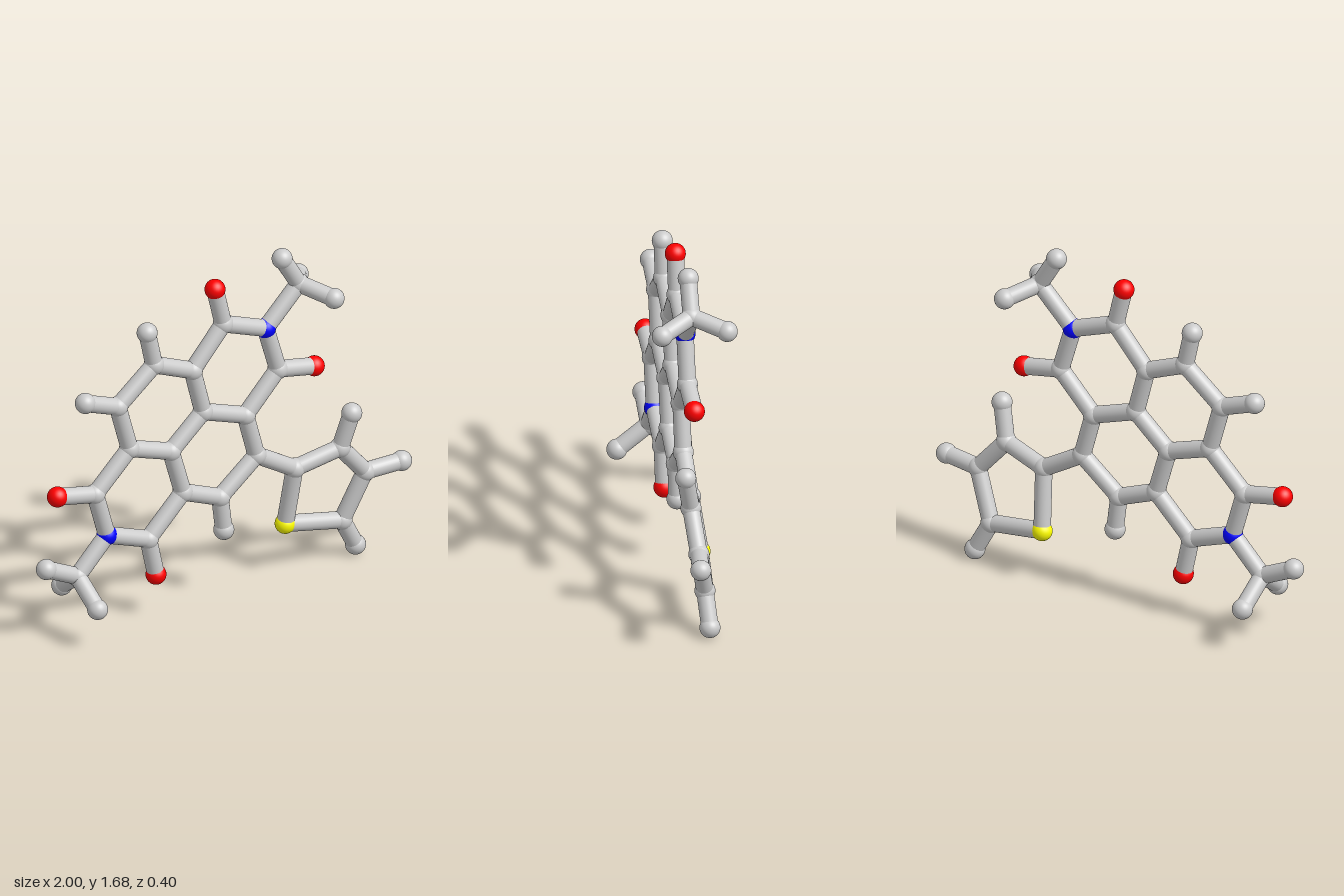
import * as THREE from 'three';

const BALL = 0.048, ROD = 0.04;
const COLORS = { C: 0xcccccc, H: 0xcccccc, O: 0xff0000, N: 0x0000ff, S: 0xffff00 };
const NAMES = { C: 'carbon', H: 'hydrogen', O: 'oxygen', N: 'nitrogen', S: 'sulfur' };

// Atom positions; the first letter of each key is the element
const ATOMS = {
  // fused ring core
  C1: [0.01, 1.385, 0], N1: [0.24, 1.3, 0], C2: [0.307, 1.075, 0], C3: [0.13, 0.888, 0],
  C4: [-0.1, 0.968, 0], C5: [-0.158, 1.193, 0], C6: [-0.366, 1.278, 0], C7: [-0.564, 1.118, 0],
  C8: [-0.5, 0.888, 0], C9: [-0.275, 0.813, 0], C10: [-0.21, 0.588, 0], C11: [-0.008, 0.508, 0],
  C12: [0.19, 0.668, 0], C13: [-0.687, 0.706, 0], N2: [-0.623, 0.481, 0], C14: [-0.398, 0.4, 0],
  // atoms on the rim
  O1: [-0.035, 1.572, 0], O2: [0.505, 1.037, 0], O3: [-0.892, 0.747, 0], O4: [-0.356, 0.209, 0],
  H1: [-0.404, 1.45, 0], H2: [-0.74, 1.182, 0], H3: [0.013, 0.337, 0],
  // two methyl groups
  C15: [0.42, 1.48, 0], H4: [0.33, 1.63, 0], H5: [0.515, 1.44, 0.15], H6: [0.515, 1.44, -0.15],
  C16: [-0.783, 0.315, 0], H7: [-0.952, 0.394, 0], H8: [-0.771, 0.204, 0.15], H9: [-0.771, 0.204, -0.15],
  // five-sided ring, slightly twisted
  C17: [0.398, 0.545, 0], S1: [0.377, 0.25, -0.047], C18: [0.623, 0.604, 0.035],
  C19: [0.767, 0.44, 0.022], C20: [0.67, 0.2, -0.022],
  H10: [0.666, 0.781, 0.066], H11: [0.952, 0.452, 0.043], H12: [0.75, 0.05, -0.032],
};

// Chains of bonded atoms
const CHAINS = [
  'C1 N1 C2 C3 C4 C5 C1', 'C5 C6 C7 C8 C9 C4', 'C9 C10 C11 C12 C3', 'C8 C13 N2 C14 C10',
  'C1 O1', 'C2 O2', 'C13 O3', 'C14 O4', 'C6 H1', 'C7 H2', 'C11 H3',
  'N1 C15 H4', 'H5 C15 H6', 'N2 C16 H7', 'H8 C16 H9',
  'C12 C17 C18 C19 C20 S1 C17', 'C18 H10', 'C19 H11', 'C20 H12',
];

export function createModel() {
  const model = new THREE.Group();
  model.name = 'molecule';
  const materials = {};
  for (const e in COLORS) materials[e] = new THREE.MeshStandardMaterial({ color: COLORS[e] });

  // Balls
  const ball = new THREE.SphereGeometry(BALL, 32, 20);
  const at = {};
  for (const [key, p] of Object.entries(ATOMS)) {
    const mesh = new THREE.Mesh(ball, materials[key[0]]);
    mesh.name = NAMES[key[0]] + 'Ball';
    mesh.position.set(...p);
    at[key] = mesh.position;
    model.add(mesh);
  }

  // Rods run from centre to centre
  const rod = new THREE.CylinderGeometry(ROD, ROD, 1, 28, 1, true);
  const up = new THREE.Vector3(0, 1, 0);
  for (const chain of CHAINS) {
    const keys = chain.split(' ');
    for (let i = 1; i < keys.length; i++) {
      const a = at[keys[i - 1]], b = at[keys[i]];
      const dir = b.clone().sub(a);
      const mesh = new THREE.Mesh(rod, materials.C);
      mesh.name = 'bondRod';
      mesh.position.copy(a).lerp(b, 0.5);
      mesh.scale.y = dir.length();
      mesh.quaternion.setFromUnitVectors(up, dir.normalize());
      model.add(mesh);
    }
  }
  return model;
}
